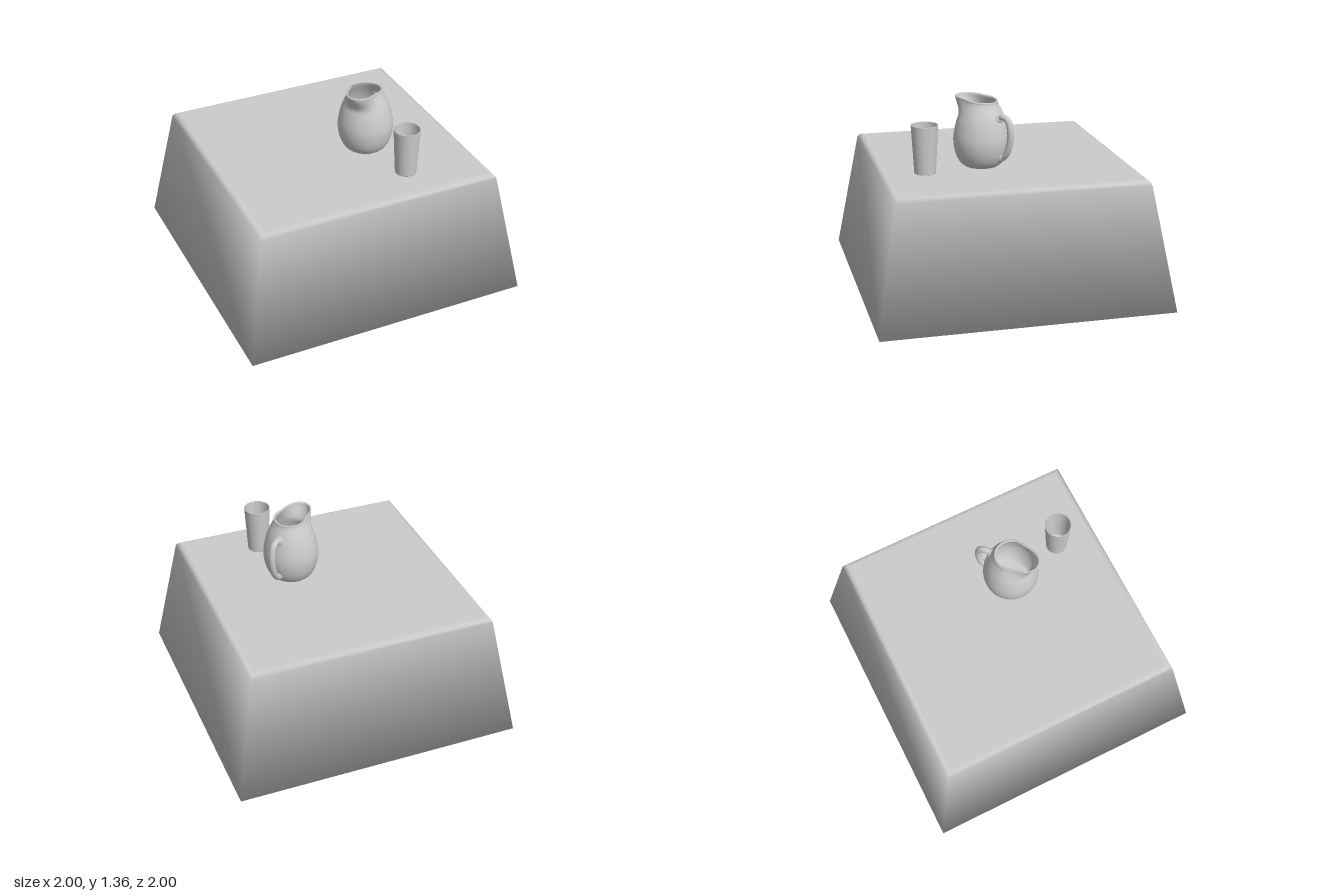
import * as THREE from 'three';
import { mergeVertices } from 'three/addons/utils/BufferGeometryUtils.js';

const TOP = 0.885; // height of the table top

const material = () => new THREE.MeshStandardMaterial({ color: 0xcccccc, side: THREE.DoubleSide });
const points = (list) => list.map(([x, y]) => new THREE.Vector2(x, y));

function part(name, geometry) {
  const mesh = new THREE.Mesh(geometry, material());
  mesh.name = name;
  return mesh;
}

// Weld a geometry and give it smooth normals all over
function smooth(geometry) {
  geometry.deleteAttribute('normal');
  geometry.deleteAttribute('uv');
  const welded = mergeVertices(geometry, 1e-5);
  welded.computeVertexNormals();
  return welded;
}

// Closed, square, flared cloth with a rounded upper edge
function createCloth() {
  const profile = [[0, 0], [1, 0], [0.85, 0.85], [0.843, 0.866], [0.83, 0.879], [0.808, TOP], [0, TOP]];
  const geometry = new THREE.LatheGeometry(points(profile.map(([x, y]) => [x * Math.SQRT2, y])), 4);
  geometry.rotateY(Math.PI / 4);
  return part('tablecloth', smooth(geometry));
}

// Tapered drinking glass with a thin wall
function createGlass() {
  const profile = [
    [0, 0], [0.071, 0], [0.0725, 0.003], [0.0905, 0.326], [0.0895, 0.329],
    [0.086, 0.329], [0.085, 0.326], [0.071, 0.02], [0.068, 0.014], [0, 0.014],
  ];
  const glass = part('glass', new THREE.LatheGeometry(points(profile), 40));
  glass.position.set(0.314, TOP, 0.56);
  return glass;
}

// Jug modelled with its spout towards +x, then turned into place
function createJug() {
  const jug = new THREE.Group();
  jug.name = 'jug';

  const outer = new THREE.SplineCurve(points([
    [0.112, 0], [0.148, 0.03], [0.177, 0.09], [0.19, 0.165], [0.186, 0.23],
    [0.168, 0.31], [0.145, 0.37], [0.122, 0.42], [0.113, 0.445], [0.113, 0.456],
  ])).getPoints(32);
  const inner = outer.slice(3).reverse().map((p) => new THREE.Vector2(p.x - 0.013, p.y));
  const profile = [new THREE.Vector2(0, 0), ...outer, new THREE.Vector2(0.107, 0.461), ...inner, new THREE.Vector2(0, 0.02)];
  const geometry = new THREE.LatheGeometry(profile, 64);

  // Pull the neck outwards into a spout and tilt the rim up towards it
  const pos = geometry.attributes.position;
  for (let i = 0; i < pos.count; i++) {
    const x = pos.getX(i), y = pos.getY(i), z = pos.getZ(i);
    const r = Math.hypot(x, z);
    if (r < 0.001) continue;
    const c = x / r;
    const weight = THREE.MathUtils.smoothstep(y, 0.34, 0.46);
    const radius = r + 0.092 * weight * Math.pow(Math.max(0, c), 4);
    pos.setXYZ(i, c * radius, y + 0.011 * c * weight, (z / r) * radius);
  }
  jug.add(part('jugBody', smooth(geometry)));

  // Curved handle with spread ends
  const path = new THREE.CatmullRomCurve3([
    [-0.142, 0.347], [-0.18, 0.358], [-0.222, 0.34], [-0.245, 0.265],
    [-0.238, 0.175], [-0.212, 0.11], [-0.178, 0.072],
  ].map(([x, y]) => new THREE.Vector3(x, y, 0)));
  jug.add(part('jugHandle', new THREE.TubeGeometry(path, 40, 0.022, 14)));
  for (const [x, y, tilt] of [[-0.152, 0.346, -0.35], [-0.172, 0.074, 0.4]]) {
    const end = part('handleEnd', new THREE.SphereGeometry(0.033, 20, 14));
    end.scale.x = 0.45;
    end.rotation.z = tilt;
    end.position.set(x, y, 0);
    jug.add(end);
  }

  jug.rotation.y = Math.PI + 0.68;
  jug.position.set(0.212, TOP, 0.15);
  return jug;
}

export function createModel() {
  const model = new THREE.Group();
  model.name = 'tableWithJugAndGlass';
  model.add(createCloth(), createGlass(), createJug());
  return model;
}
